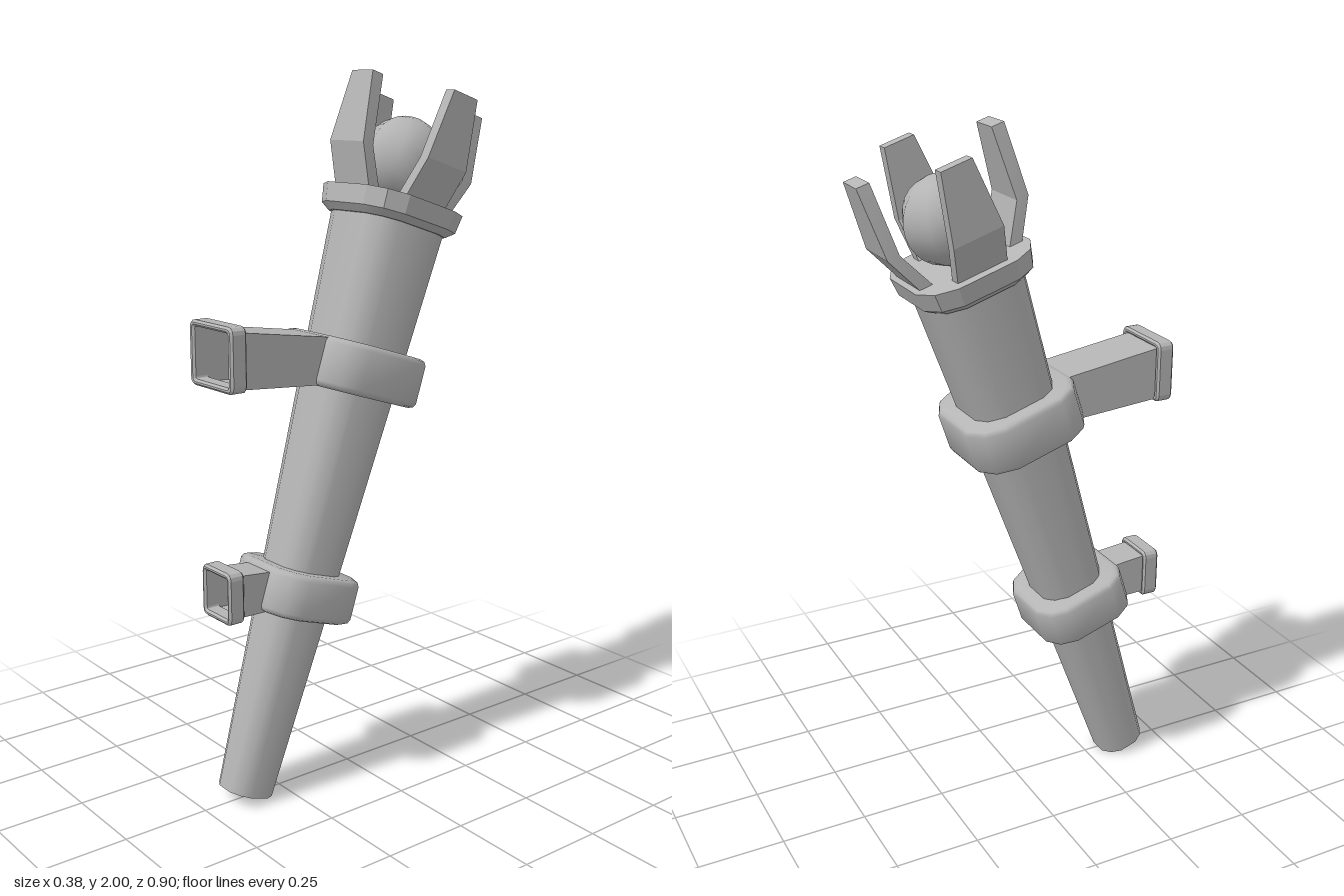
import * as THREE from 'three';
import { toCreasedNormals } from 'three/addons/utils/BufferGeometryUtils.js';

const grey = new THREE.MeshStandardMaterial({ color: 0xb4b4b4, side: THREE.DoubleSide });
grey.name = 'grey metal';

// Skin a list of equal-sized point rings, optionally closing both ends.
function loft(rings, crease, caps = true) {
  const n = rings[0].length, pos = rings.flat(2), index = [];
  for (let i = 0; i < rings.length - 1; i++) {
    for (let j = 0; j < n; j++) {
      const a = i * n + j, b = i * n + (j + 1) % n;
      index.push(a, a + n, b, b, a + n, b + n);
    }
  }
  if (caps) {
    const t = (rings.length - 1) * n;
    for (let j = 1; j < n - 1; j++) {
      index.push(0, j, j + 1, t, t + j + 1, t + j);
    }
  }
  const g = new THREE.BufferGeometry();
  g.setAttribute('position', new THREE.Float32BufferAttribute(pos, 3));
  g.setIndex(index);
  return toCreasedNormals(g, crease);
}

// Twelve-point rounded square of half-width r at height y.
function roundedSquare(y, r, flat = 0.5, corner = 0.83) {
  const ring = [];
  for (let q = 0; q < 4; q++) {
    const c = Math.round(Math.cos(q * Math.PI / 2)), s = Math.round(Math.sin(q * Math.PI / 2));
    for (const [u, v] of [[1, -flat], [1, flat], [corner, corner]]) {
      ring.push([r * (u * c - v * s), y, r * (u * s + v * c)]);
    }
  }
  return ring;
}

function add(parent, name, geometry) {
  const mesh = new THREE.Mesh(geometry, grey);
  mesh.name = name;
  parent.add(mesh);
  return mesh;
}

function roundedRect(target, w, h, r) {
  target.moveTo(-w + r, -h);
  target.lineTo(w - r, -h);
  target.quadraticCurveTo(w, -h, w, -h + r);
  target.lineTo(w, h - r);
  target.quadraticCurveTo(w, h, w - r, h);
  target.lineTo(-w + r, h);
  target.quadraticCurveTo(-w, h, -w, h - r);
  target.lineTo(-w, -h + r);
  target.quadraticCurveTo(-w, -h, -w + r, -h);
  return target;
}

// Hollow arm and the open frame that sits against the wall.
function bracket(parent, name, w, front, back, frameW, frameBottom, frameTop) {
  const section = ([top, zTop, bottom, zBottom]) =>
    [[w, top, zTop], [w, bottom, zBottom], [-w, bottom, zBottom], [-w, top, zTop]];
  add(parent, name + 'Arm', loft([section(back), section(front)], 0.5, false));

  const h = (frameTop - frameBottom) / 2, bevel = 0.006;
  const shape = roundedRect(new THREE.Shape(), frameW - bevel, h - bevel, 0.015);
  shape.holes.push(roundedRect(new THREE.Path(), w + bevel, h - 0.014 + bevel / 2, 0.012));
  const frame = new THREE.ExtrudeGeometry(shape, {
    depth: 0.05 - 2 * bevel, bevelEnabled: true, bevelSize: bevel,
    bevelThickness: bevel, bevelSegments: 1, curveSegments: 3,
  });
  add(parent, name + 'WallFrame', frame).position.set(0, (frameTop + frameBottom) / 2, 0.4 + bevel);
}

export function createModel() {
  const model = new THREE.Group();
  model.name = 'wallTorch';

  // Everything on the leaning axis lives in this tilted group.
  const torch = new THREE.Group();
  torch.name = 'torch';
  torch.position.set(0, 0.027, 0.366);
  torch.rotation.x = -THREE.MathUtils.degToRad(18);
  model.add(torch);

  // Tapered shaft, rounder at the foot
  add(torch, 'shaft', loft([
    roundedSquare(0, 0.072, 0.38, 0.76),
    roundedSquare(1.66, 0.137, 0.5, 0.83),
  ], 0.75));

  // Collar under the claws
  add(torch, 'collar', loft([
    roundedSquare(1.638, 0.142),
    roundedSquare(1.656, 0.163),
    roundedSquare(1.708, 0.17),
  ], 0.4));

  // Clamping rings
  for (const [name, low, high, r] of [['upperRing', 1.157, 1.296, 0.172], ['lowerRing', 0.525, 0.652, 0.146]]) {
    const b = 0.016;
    add(torch, name, loft([
      roundedSquare(low, r - b),
      roundedSquare(low + b * 0.3, r - b * 0.3),
      roundedSquare(low + b, r),
      roundedSquare(high - b, r),
      roundedSquare(high - b * 0.3, r - b * 0.3),
      roundedSquare(high, r - b),
    ], 0.8));
  }

  // Ball held by the claws
  add(torch, 'ball', new THREE.SphereGeometry(0.12, 8, 14)).position.y = 1.821;

  // Four bent claws: height, half-width, inner and outer distance from the axis
  const clawSections = [
    [1.695, 0.073, 0.108, 0.146],
    [1.814, 0.072, 0.171, 0.206],
    [2.006, 0.044, 0.174, 0.211],
  ];
  const claw = loft(clawSections.map(([y, w, inner, outer]) =>
    [[w, y, inner], [w, y, outer], [-w, y, outer], [-w, y, inner]]), 0.3);
  ['frontClaw', 'leftClaw', 'backClaw', 'rightClaw'].forEach((name, i) => {
    const mesh = add(torch, name, claw);
    mesh.rotation.y = i * Math.PI / 2;
    if (i % 2) mesh.scale.z = 0.91;
  });

  // Wall brackets
  bracket(model, 'upper', 0.08, [1.347, 0.41, 1.197, 0.41], [1.303, 0.105, 1.178, 0.15], 0.1, 1.19, 1.365);
  bracket(model, 'lower', 0.053, [0.685, 0.41, 0.566, 0.41], [0.672, 0.275, 0.564, 0.315], 0.068, 0.553, 0.7);

  return model;
}
